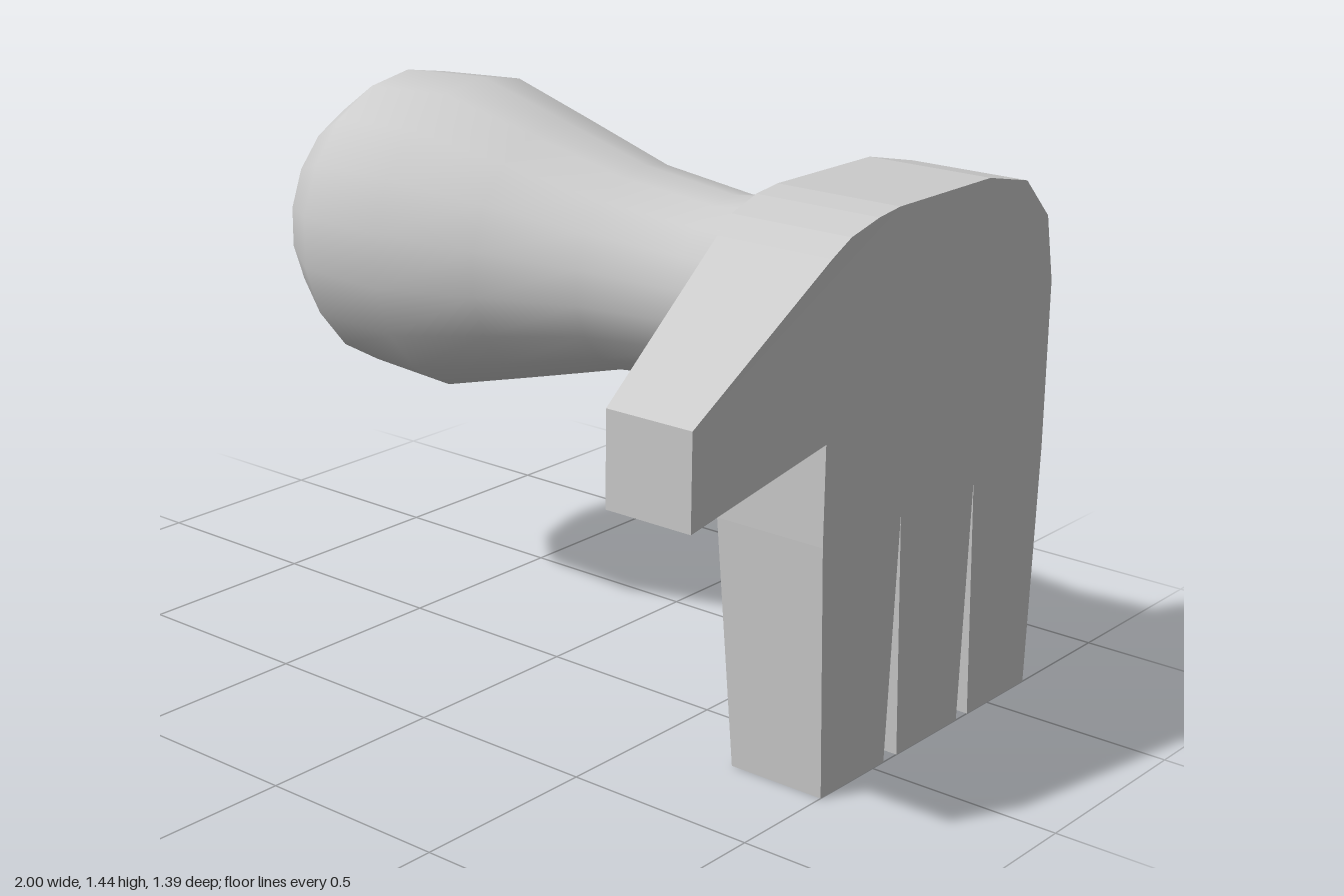
import * as THREE from 'three';

const AXIS_Y = 1.02, AXIS_Z = -0.245, SIDES = 18;
const WRIST_X = 0.615, WRIST_R = 0.26;

// Hand outline: z, y, back x, front x (clockwise seen from the palm)
const OUTLINE = [
  [0.695, 0.79, 0.75, 0.985], [0.695, 1.02, 0.75, 0.985], // thumb tip
  [0.235, 1.30, 0.685, 1], [0.165, 1.335, 0.67, 1], [0.06, 1.36, 0.66, 1],
  [-0.02, 1.37, 0.66, 1], [-0.39, 1.37, 0.66, 1], [-0.555, 1.335, 0.675, 1],
  [-0.66, 1.23, 0.69, 1], [-0.695, 1.06, 0.69, 1], [-0.695, 0.63, 0.69, 1],
  [-0.67, 0, 0.74, 1], [-0.41, 0, 0.74, 1], [-0.385, 0.63, 0.66, 1], // outer finger
  [-0.36, 0, 0.74, 1], [-0.10, 0, 0.74, 1], [-0.075, 0.625, 0.66, 1], // middle finger
  [-0.045, 0, 0.74, 1], [0.21, 0, 0.74, 1], [0.235, 0.63, 0.70, 1], // inner finger
  [0.235, 0.875, 0.69, 1],
];

function handGeometry() {
  const pos = [];
  const back = OUTLINE.map(([z, y, b]) => new THREE.Vector3(b, y, z));
  const front = OUTLINE.map(([z, y, , f]) => new THREE.Vector3(f, y, z));
  const tri = (a, b, c) => [a, b, c].forEach((p) => pos.push(p.x, p.y, p.z));
  const flat = (p) => new THREE.Vector2(-p.z, p.y);

  // Fill a loop (with an optional hole) so that it faces along dir on x
  const fill = (loop, dir, hole = []) => {
    const all = loop.concat(hole);
    const holes = hole.length ? [hole.map(flat)] : [];
    for (const [i, j, k] of THREE.ShapeUtils.triangulateShape(loop.map(flat), holes)) {
      const [a, b, c] = [all[i], all[j], all[k]];
      const area = THREE.ShapeUtils.area([a, b, c].map(flat));
      if (area * dir > 0) tri(a, b, c);
      else tri(a, c, b);
    }
  };

  // Palm side and rim
  fill(front, 1);
  back.forEach((b, i) => {
    const j = (i + 1) % back.length;
    tri(front[i], front[j], back[j]);
    tri(front[i], back[j], b);
  });

  // Back of thumb and fingers
  for (const ids of [[20, 0, 1, 2], [10, 11, 12, 13], [13, 14, 15, 16], [16, 17, 18, 19]]) {
    fill(ids.map((i) => back[i]), -1);
  }

  // Back of the hand, sloping up to the wrist ring
  const ring = Array.from({ length: SIDES }, (_, i) => {
    const a = (i / SIDES) * Math.PI * 2;
    return new THREE.Vector3(WRIST_X, AXIS_Y + WRIST_R * Math.cos(a), AXIS_Z + WRIST_R * Math.sin(a));
  });
  fill([2, 3, 4, 5, 6, 7, 8, 9, 10, 13, 16, 19, 20].map((i) => back[i]), -1, ring);

  const geo = new THREE.BufferGeometry();
  geo.setAttribute('position', new THREE.Float32BufferAttribute(pos, 3));
  geo.computeVertexNormals();
  return geo;
}

export function createModel() {
  const group = new THREE.Group();

  // Turned grip: radius, position along the axis
  const profile = [
    [0, -1], [0.105, -1], [0.2, -0.97], [0.305, -0.9], [0.405, -0.75], [0.42, -0.475],
    [0.345, -0.2], [0.267, 0.08], [0.235, 0.36], [WRIST_R, WRIST_X],
  ].map(([r, x]) => new THREE.Vector2(r, x));
  const handle = new THREE.Mesh(
    new THREE.LatheGeometry(profile, SIDES, Math.PI / 2),
    new THREE.MeshStandardMaterial({ color: 0xcccccc }),
  );
  handle.name = 'handle';
  handle.rotation.z = -Math.PI / 2;
  handle.position.set(0, AXIS_Y, AXIS_Z);
  group.add(handle);

  const hand = new THREE.Mesh(
    handGeometry(),
    new THREE.MeshStandardMaterial({ color: 0xcccccc, flatShading: true }),
  );
  hand.name = 'hand';
  group.add(hand);

  return group;
}
